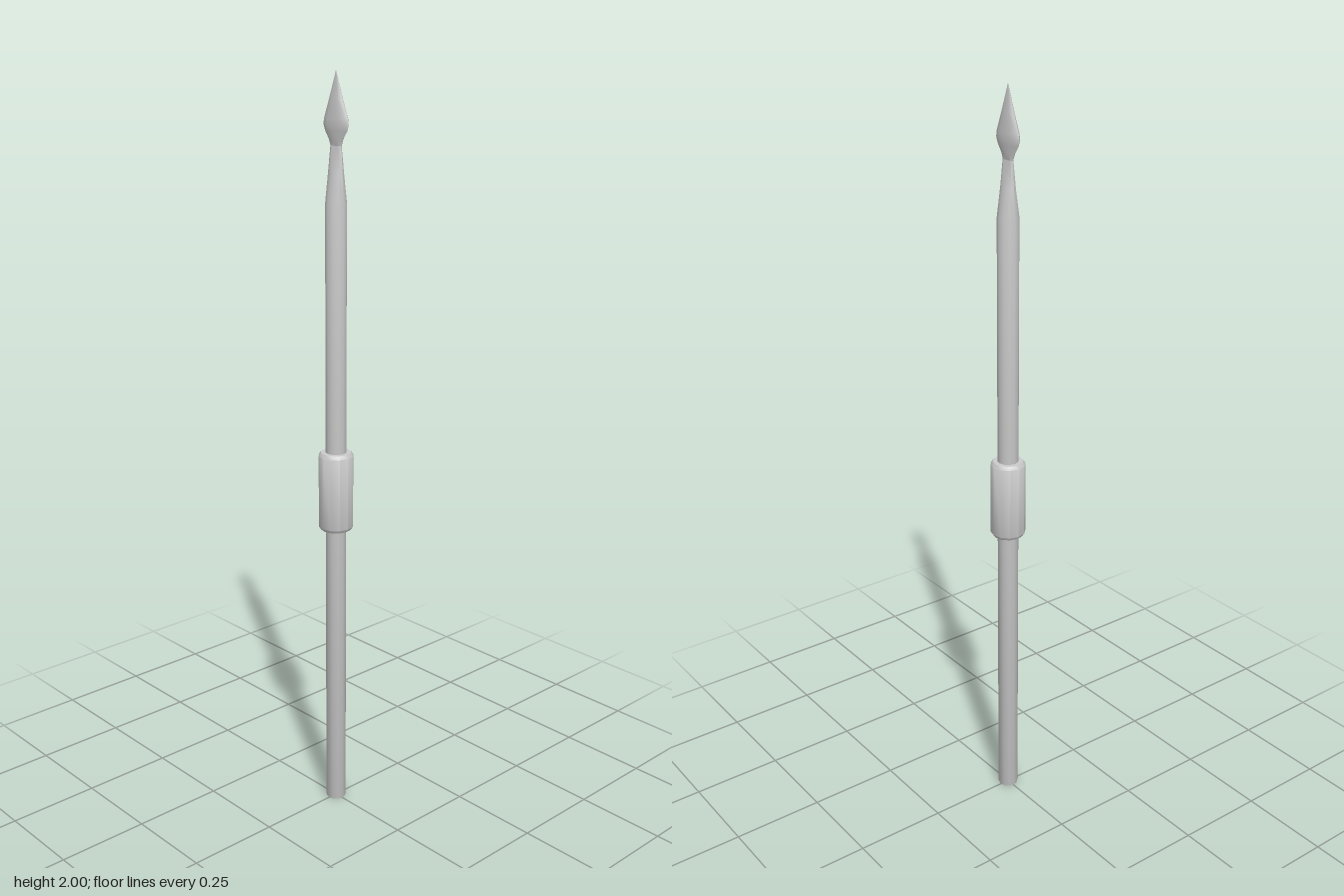
import * as THREE from 'three';
import { toCreasedNormals } from 'three/addons/utils/BufferGeometryUtils.js';

const SIDES = 12;

// Loft of elliptical rings given as [y, x radius, z radius], from bottom to top.
function loft(name, rings, material) {
  const points = rings.map(([y]) => new THREE.Vector2(1, y));
  const geometry = new THREE.LatheGeometry(points, SIDES);
  const position = geometry.attributes.position;
  for (let i = 0; i < position.count; i++) {
    const [, rx, rz] = rings[i % rings.length];
    position.setX(i, position.getX(i) * rx);
    position.setZ(i, position.getZ(i) * rz);
  }
  const mesh = new THREE.Mesh(toCreasedNormals(geometry, 0.7), material);
  mesh.name = name;
  return mesh;
}

export function createModel() {
  const group = new THREE.Group();
  group.name = 'spear';
  const material = new THREE.MeshStandardMaterial({ color: 0xcccccc });

  // Round pole with a slightly bevelled foot, flattening into the neck of the blade
  group.add(loft('shaft', [
    [0, 0, 0], [0, 0.026, 0.026], [0.006, 0.028, 0.028], [1.68, 0.028, 0.028],
    [1.75, 0.017, 0.024], [1.82, 0.006, 0.02],
  ], material));

  // Thin leaf-shaped blade, wide along z
  group.add(loft('blade', [
    [1.82, 0.006, 0.02], [1.835, 0.008, 0.025], [1.855, 0.0115, 0.039],
    [1.87, 0.0125, 0.045], [1.885, 0.012, 0.043], [1.93, 0.0075, 0.025], [2, 0, 0],
  ], material));

  // Thick grip sleeve with bevelled rims
  group.add(loft('grip', [
    [0.815, 0.026, 0.026], [0.815, 0.041, 0.041], [0.824, 0.047, 0.047],
    [1.021, 0.047, 0.047], [1.03, 0.041, 0.041], [1.03, 0.026, 0.026],
  ], material));

  return group;
}
